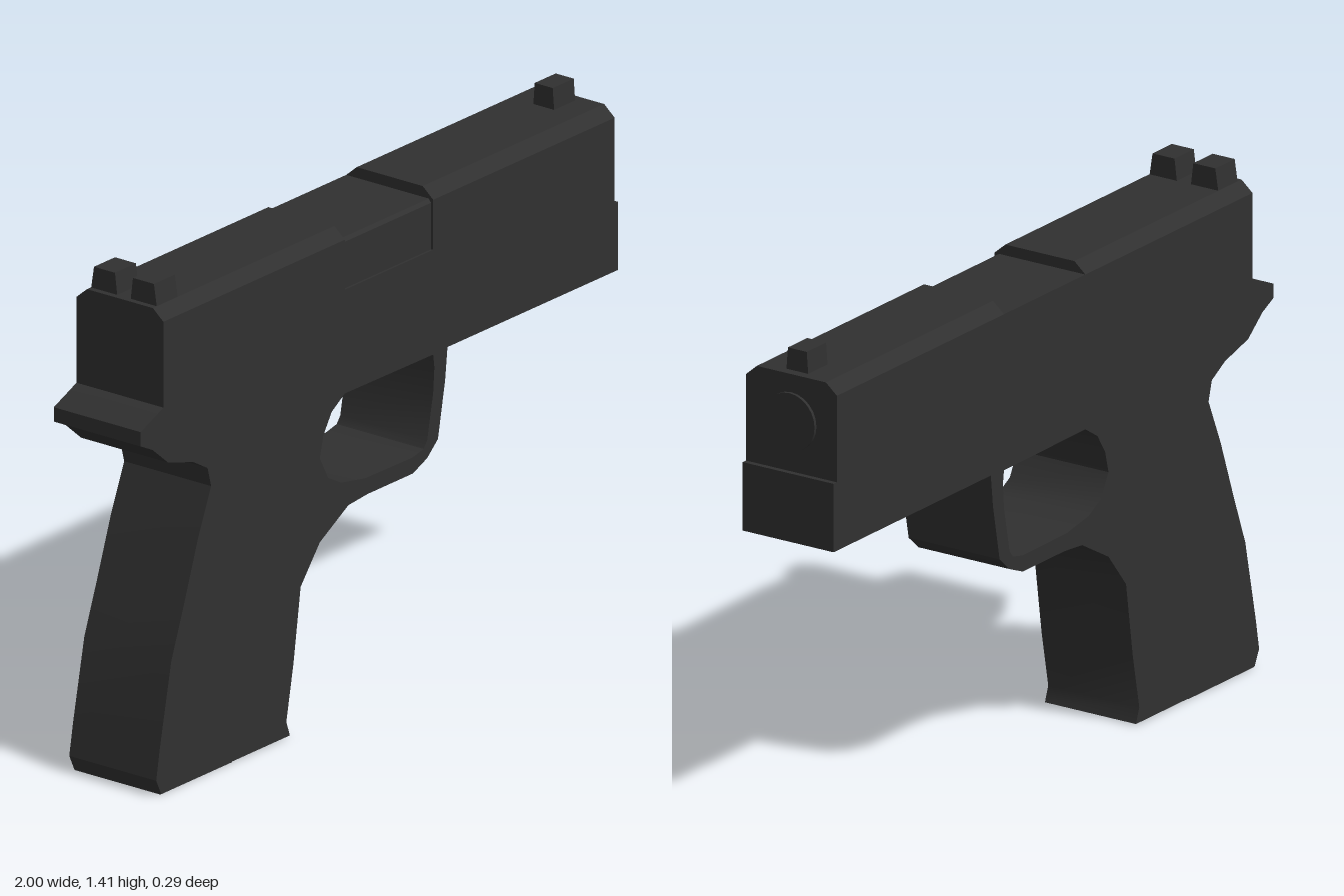
import * as THREE from 'three';
import { toCreasedNormals } from 'three/addons/utils/BufferGeometryUtils.js';

const HALF = 0.145; // half the body width
const gunmetal = new THREE.MeshStandardMaterial({ color: 0x303030 });
gunmetal.name = 'gunmetal';

const toPoints = (list) => list.map(([a, b]) => new THREE.Vector2(a, b));

export function createModel() {
  const model = new THREE.Group();
  model.name = 'pistol';

  function add(name, geometry) {
    const mesh = new THREE.Mesh(toCreasedNormals(geometry, 0.6), gunmetal);
    mesh.name = name;
    model.add(mesh);
    return mesh;
  }

  // Extrudes a [z, y] cross-section along x from x0 to x1
  function addAlongX(name, section, x0, x1) {
    const shape = new THREE.Shape(toPoints(section.map(([z, y]) => [-z, y])));
    const geometry = new THREE.ExtrudeGeometry(shape, { depth: x1 - x0, bevelEnabled: false });
    geometry.rotateY(Math.PI / 2);
    geometry.translate(x0, 0, 0);
    return add(name, geometry);
  }

  // Frame: tail, grip, trigger guard and dust cover in one outline
  const outline = new THREE.Shape(toPoints([
    [-1, 1.04], [-1, 1.0], [-0.95, 0.975], [-0.885, 0.92], [-0.78, 0.89], [-0.72, 0.855],
    [-0.705, 0.8], [-0.76, 0.67], [-0.82, 0.5], [-0.872, 0.36], [-0.92, 0.13], [-0.935, 0.045],
    [-0.915, 0.003], [-0.375, 0.003], [-0.39, 0.045], [-0.36, 0.2], [-0.33, 0.405],
    [-0.25, 0.505], [-0.13, 0.573], [-0.05, 0.58], [0.14, 0.58], [0.2, 0.605], [0.245, 0.645],
    [0.275, 0.8], [0.285, 0.89], [1, 0.89], [1, 1.08], [-0.905, 1.08], [-0.94, 1.065],
  ]));
  outline.holes.push(new THREE.Path(toPoints([
    [-0.145, 0.89], [0.225, 0.887], [0.23, 0.85], [0.225, 0.78], [0.2, 0.655], [0.185, 0.635],
    [0.14, 0.625], [-0.06, 0.627], [-0.16, 0.645], [-0.215, 0.675], [-0.25, 0.74],
    [-0.235, 0.8], [-0.2, 0.855],
  ])));
  const frame = new THREE.ExtrudeGeometry(outline, { depth: HALF * 2, bevelEnabled: false });
  frame.translate(0, 0, -HALF);
  add('frame', frame);

  // Base plate closing the grip
  const base = new THREE.BoxGeometry(0.3, 0.01, HALF * 2 - 0.004);
  base.translate(-0.765, 0.005, 0);
  add('gripBase', base);

  // Slide: chamfered rear and front lengths with the port between them
  const slideSection = [
    [-HALF, 1.08], [HALF, 1.08], [HALF, 1.32], [0.11, 1.35], [-0.11, 1.35], [-HALF, 1.32],
  ];
  addAlongX('slideRear', slideSection, -0.905, -0.145);
  addAlongX('slideFront', slideSection, 0.225, 0.985);
  addAlongX('slidePortWall', [
    [-HALF, 1.08], [HALF, 1.08], [HALF, 1.18], [-0.12, 1.18], [-0.135, 1.32], [-HALF, 1.32],
  ], -0.145, 0.225);
  addAlongX('barrelHood', [
    [-0.135, 1.17], [0.138, 1.17], [0.138, 1.31], [0.13, 1.32], [-0.135, 1.32],
  ], -0.145, 0.225);

  // Muzzle disc
  const muzzle = new THREE.CylinderGeometry(0.08, 0.08, 0.02, 24);
  muzzle.rotateZ(Math.PI / 2);
  muzzle.translate(0.984, 1.22, 0);
  add('muzzle', muzzle);

  // Sights: two tapered rear posts and one front blade
  const rearSight = [[0.022, 1.345], [0.11, 1.345], [0.1, 1.41], [0.03, 1.41]];
  addAlongX('rearSightLeft', rearSight, -0.888, -0.8);
  addAlongX('rearSightRight', rearSight.map(([z, y]) => [-z, y]).reverse(), -0.888, -0.8);
  addAlongX('frontSight', [[-0.035, 1.345], [0.035, 1.345], [0.03, 1.41], [-0.03, 1.41]], 0.87, 0.958);

  return model;
}
